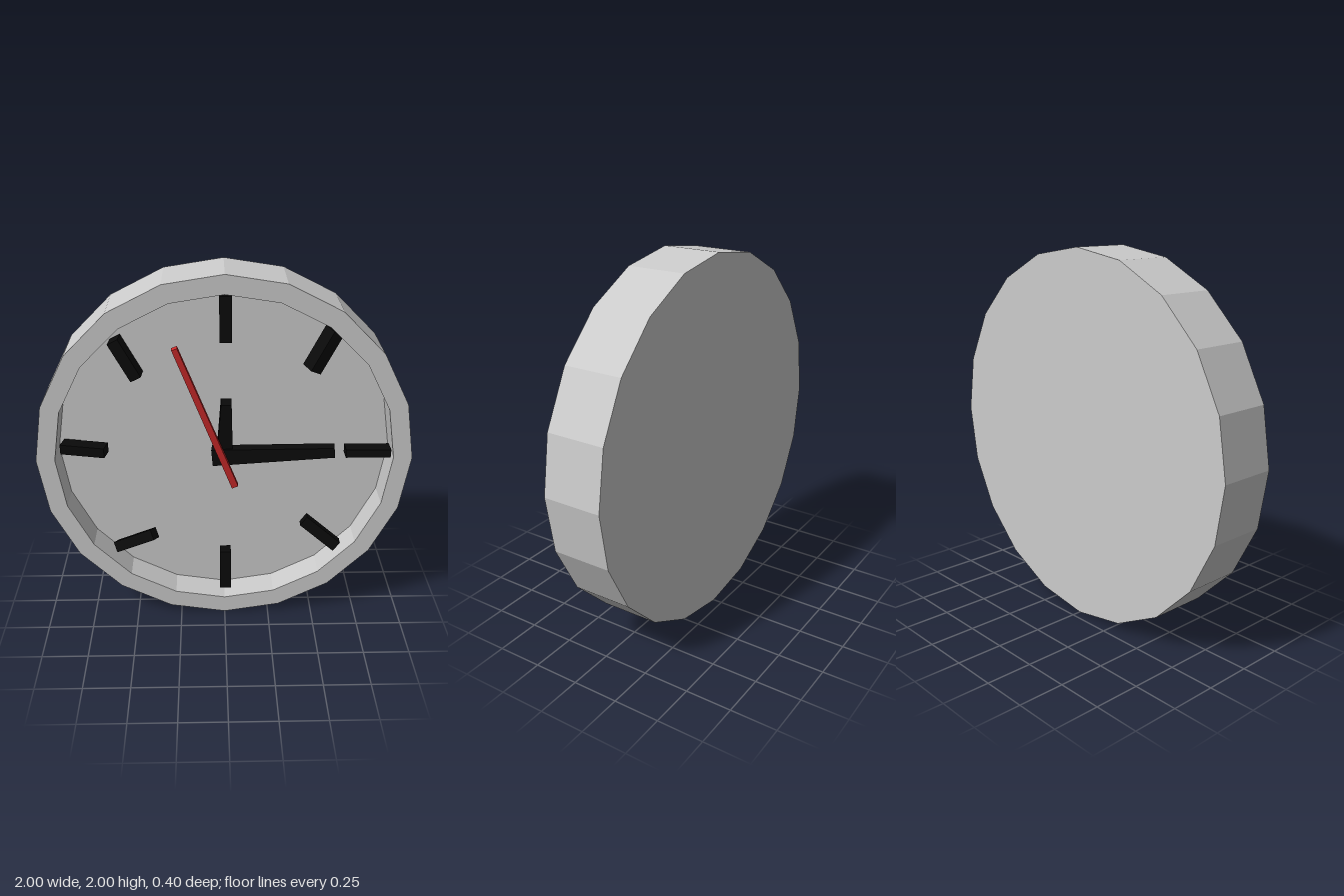
import * as THREE from 'three';

const black = new THREE.MeshStandardMaterial({ color: 0x0a0a0a, flatShading: true });
const red = new THREE.MeshStandardMaterial({ color: 0xcc2a2a, flatShading: true });
const grey = new THREE.MeshStandardMaterial({ color: 0xcccccc, flatShading: true });

// Tapered square bar from point a to point b, optionally rolled about its length
function bar(name, a, b, wA, wB, thick, material, roll = 0) {
  const start = new THREE.Vector3(...a), end = new THREE.Vector3(...b);
  const geo = new THREE.BoxGeometry(1, start.distanceTo(end), thick);
  const pos = geo.attributes.position;
  for (let i = 0; i < pos.count; i++) {
    pos.setX(i, pos.getX(i) * (pos.getY(i) < 0 ? wA : wB));
  }
  geo.rotateY(roll);
  const along = end.clone().sub(start).normalize();
  const side = along.clone().cross(new THREE.Vector3(0, 0, 1)).normalize();
  const front = side.clone().cross(along);
  geo.applyMatrix4(new THREE.Matrix4().makeBasis(side, along, front));
  geo.computeVertexNormals();
  const mesh = new THREE.Mesh(geo, material);
  mesh.name = name;
  mesh.position.copy(start).add(end).multiplyScalar(0.5);
  return mesh;
}

export function createModel() {
  const clock = new THREE.Group();
  clock.name = 'wallClock';

  // Twenty-sided case with a raised rim and a recessed dial
  const profile = [[0, -0.2], [1, -0.2], [1, 0.12], [0.9, 0.12], [0.9, -0.045], [0, -0.045]]
    .map(([r, z]) => new THREE.Vector2(r, z));
  const caseGeo = new THREE.LatheGeometry(profile, 20);
  caseGeo.rotateX(Math.PI / 2);
  const body = new THREE.Mesh(caseGeo, grey);
  body.name = 'caseAndDial';
  body.position.y = 1;
  clock.add(body);

  // Hour markers, outer end to inner end, each slightly tilted
  const markers = new THREE.Group();
  markers.name = 'hourMarkers';
  const layout = [
    { a: [0.005, 1.89, 0.08], b: [0.005, 1.655, 0.085], w: 0.062 },
    { a: [0.56, 1.685, 0.03], b: [0.45, 1.48, 0.045], w: 0.07, roll: -0.5 },
    { a: [0.885, 1.025, 0.08], b: [0.645, 1.025, 0.08], w: 0.045 },
    { a: [0.63, 0.43, 0.085], b: [0.445, 0.57, 0.035], w: 0.062, roll: 0.15 },
    { a: [0.005, 0.145, 0.055], b: [0.005, 0.38, 0.04], w: 0.062 },
    { a: [-0.6, 0.425, 0.065], b: [-0.39, 0.53, 0.105], w: 0.06, roll: -0.45 },
    { a: [-0.875, 1.025, 0], b: [-0.635, 1.025, 0.05], w: 0.055 },
    { a: [-0.565, 1.635, 0.005], b: [-0.455, 1.43, 0.005], w: 0.062, roll: 0.1 },
  ];
  for (const { a, b, w, roll } of layout) {
    markers.add(bar('hourMarker', a, b, w, w, 0.078, black, roll));
  }
  clock.add(markers);

  // Hands
  clock.add(bar('hourHand', [0, 0.96, 0.055], [0.008, 1.32, 0.09], 0.09, 0.055, 0.075, black));
  clock.add(bar('minuteHand', [-0.065, 1, 0.075], [0.58, 1.055, 0.135], 0.095, 0.055, 0.06, black));
  clock.add(bar('secondHand', [0.055, 0.84, 0.122], [-0.25, 1.65, 0.182], 0.036, 0.03, 0.034, red));

  return clock;
}
